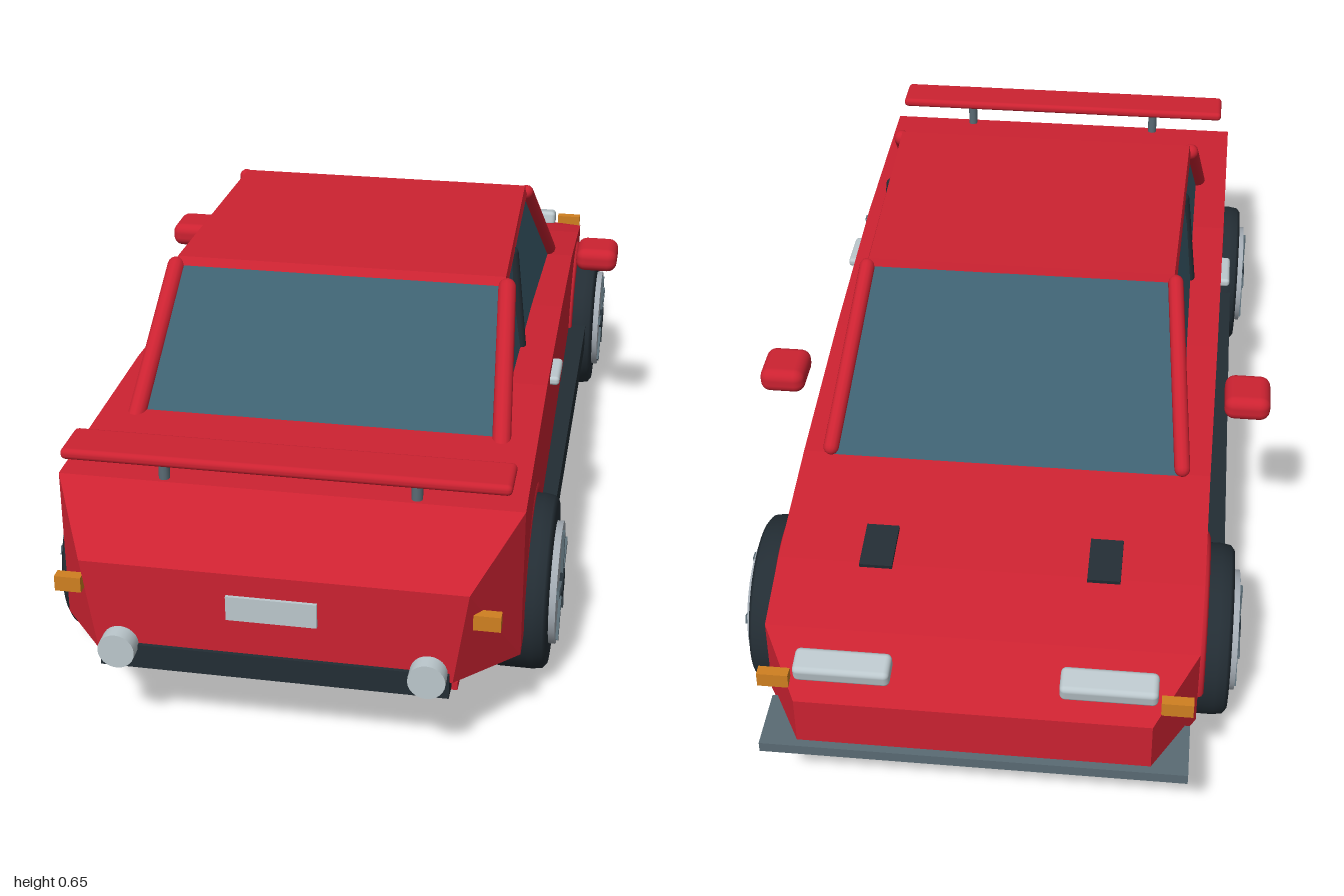
import * as THREE from 'three';
import { RoundedBoxGeometry } from 'three/addons/geometries/RoundedBoxGeometry.js';

const mat = (name, color) => Object.assign(new THREE.MeshStandardMaterial({ color }), { name });

// Flat-faced solid through rings of corners; rings run counterclockwise about the direction of travel
function loft(rings) {
  const pos = [], n = rings[0].length;
  const quad = (a, b, c, d) => pos.push(...a, ...b, ...c, ...a, ...c, ...d);
  for (let r = 0; r < rings.length - 1; r++) {
    for (let i = 0; i < n; i++) {
      const j = (i + 1) % n;
      quad(rings[r][i], rings[r][j], rings[r + 1][j], rings[r + 1][i]);
    }
  }
  const first = rings[0], last = rings[rings.length - 1];
  quad(first[3], first[2], first[1], first[0]);
  quad(last[0], last[1], last[2], last[3]);
  const g = new THREE.BufferGeometry();
  g.setAttribute('position', new THREE.Float32BufferAttribute(pos, 3));
  g.computeVertexNormals();
  return g;
}

export function createModel() {
  const car = new THREE.Group();
  car.name = 'sportsCar';
  const red = mat('bodyRed', 0xcc2231), glass = mat('glassBlue', 0x3d6070);
  const black = mat('rubberBlack', 0x232d34), silver = mat('rimSilver', 0xa3abb3);
  const pale = mat('paleGrey', 0xbcc8cd), slate = mat('slateGrey', 0x5a6b74);
  const orange = mat('markerOrange', 0xd08020), lamp = mat('lampRed', 0xd8341c);

  const add = (name, geo, material, x = 0, y = 0, z = 0, parent = car) => {
    const m = new THREE.Mesh(geo, material);
    m.name = name;
    m.position.set(x, y, z);
    parent.add(m);
    return m;
  };
  const box = (name, material, w, h, d, x, y, z) => add(name, new THREE.BoxGeometry(w, h, d), material, x, y, z);
  const round = (name, material, w, h, d, r, x, y, z) =>
    add(name, new RoundedBoxGeometry(w, h, d, 3, r), material, x, y, z);
  const rod = (name, material, from, to, r) => {
    const a = new THREE.Vector3(...from), b = new THREE.Vector3(...to);
    const dir = b.clone().sub(a), mid = a.clone().add(b).multiplyScalar(0.5);
    const m = add(name, new THREE.CapsuleGeometry(r, dir.length(), 4, 12), material, mid.x, mid.y, mid.z);
    m.quaternion.setFromUnitVectors(new THREE.Vector3(0, 1, 0), dir.normalize());
  };

  // Lower body: z, half width at bottom, half width at top, bottom y, top y
  const sections = [
    [-0.985, 0.31, 0.31, 0.17, 0.265],
    [-0.85, 0.385, 0.385, 0.15, 0.31],
    [-0.71, 0.388, 0.388, 0.145, 0.345],
    [-0.45, 0.39, 0.39, 0.145, 0.385],
    [-0.07, 0.395, 0.395, 0.145, 0.417],
    [0.36, 0.4, 0.4, 0.145, 0.437],
    [0.83, 0.405, 0.405, 0.145, 0.425],
    [0.97, 0.305, 0.33, 0.17, 0.34],
  ];
  add('body', loft(sections.map(([z, b, t, y0, y1]) => [[b, y0, z], [t, y1, z], [-t, y1, z], [-b, y0, z]])), red);

  // Cabin glass and roof
  const plan = (y0, y1, xr, zr, xf, zf) => [[xr, y0, zr], [xf, y1, zf], [-xf, y1, zf], [-xr, y0, zr]];
  add('cabinGlass', loft([plan(0.415, 0.375, 0.335, 0.595, 0.335, -0.465), plan(0.635, 0.635, 0.312, 0.355, 0.298, -0.165)]), glass);
  add('roof', loft([plan(0.633, 0.633, 0.318, 0.36, 0.305, -0.17), plan(0.648, 0.648, 0.314, 0.35, 0.3, -0.165)]), red);

  // Tail details
  box('rearBumper', black, 0.6, 0.045, 0.07, 0, 0.165, 0.942);
  box('bumperLip', red, 0.62, 0.015, 0.1, 0, 0.143, 0.89);
  box('blankPlate', pale, 0.155, 0.045, 0.008, 0, 0.277, 0.972);
  round('spoilerWing', red, 0.77, 0.02, 0.09, 0.009, 0, 0.485, 0.83);

  // Nose splitter
  box('splitter', slate, 0.75, 0.02, 0.115, 0, 0.16, -0.9425);

  // Wheel profile: radius, axial position
  const tyreProfile = [[0.1, -0.055], [0.148, -0.055], [0.157, -0.048], [0.16, -0.03],
    [0.16, 0.03], [0.157, 0.048], [0.148, 0.055], [0.1, 0.055]].map(([r, a]) => new THREE.Vector2(r, a));
  const tyreGeo = new THREE.LatheGeometry(tyreProfile, 40).rotateZ(-Math.PI / 2);
  const disc = (r, w, n = 32) => new THREE.CylinderGeometry(r, r, w, n).rotateZ(-Math.PI / 2);
  const rimGeo = disc(0.112, 0.134), hubGeo = disc(0.026, 0.148, 20);
  const spokeGeo = new THREE.BoxGeometry(0.144, 0.1, 0.016).translate(0, 0.055, 0);

  for (const s of [1, -1]) {
    // Wheels and arches
    for (const [z, archX, label] of [[0.607, 0.392, 'rear'], [-0.623, 0.384, 'front']]) {
      const wheel = new THREE.Group();
      wheel.name = label + 'Wheel';
      wheel.position.set(s * 0.388, 0.16, z);
      add('tyre', tyreGeo, black, 0, 0, 0, wheel);
      add('rim', rimGeo, silver, 0, 0, 0, wheel);
      add('hub', hubGeo, black, 0, 0, 0, wheel);
      for (let i = 0; i < 5; i++) {
        add('spoke', spokeGeo, slate, 0, 0, 0, wheel).rotation.x = (i * Math.PI * 2) / 5;
      }
      car.add(wheel);
      const arch = new THREE.TorusGeometry(0.17, 0.013, 8, 32, Math.PI).rotateY(Math.PI / 2);
      add(label + 'WheelArch', arch, red, s * archX, 0.16, z);
    }

    // Sides
    box('sill', black, 0.06, 0.06, 0.94, s * 0.398, 0.173, 0);
    round('mirror', red, 0.088, 0.05, 0.1, 0.02, s * 0.454, 0.455, -0.288);
    round('doorHandle', pale, 0.026, 0.018, 0.095, 0.007, s * 0.404, 0.406, 0.23);
    rod('windscreenPillar', red, [s * 0.336, 0.4, -0.452], [s * 0.303, 0.633, -0.168], 0.015);
    rod('rearPillar', red, [s * 0.338, 0.42, 0.59], [s * 0.317, 0.63, 0.355], 0.017);
    rod('doorPillar', black, [s * 0.329, 0.43, 0.165], [s * 0.308, 0.625, 0.165], 0.012);

    // Tail lamps, exhausts and wing posts
    rod('tailLamp', lamp, [s * 0.15, 0.338, 0.952], [s * 0.295, 0.338, 0.952], 0.009);
    box('rearMarker', orange, 0.046, 0.028, 0.02, s * 0.358, 0.281, 0.945);
    add('exhaust', new THREE.CylinderGeometry(0.032, 0.032, 0.06, 24).rotateX(Math.PI / 2), pale, s * 0.265, 0.186, 0.97);
    add('wingPost', new THREE.CylinderGeometry(0.01, 0.01, 0.07, 12), slate, s * 0.22, 0.447, 0.815);

    // Nose lamps and bonnet vents
    round('headlamp', pale, 0.17, 0.035, 0.052, 0.01, s * 0.232, 0.299, -0.928).rotation.x = -0.2;
    box('frontMarker', orange, 0.055, 0.028, 0.02, s * 0.35, 0.285, -0.95);
    box('bonnetVent', black, 0.06, 0.012, 0.095, s * 0.207, 0.352, -0.673).rotation.x = -0.16;
  }
  return car;
}
